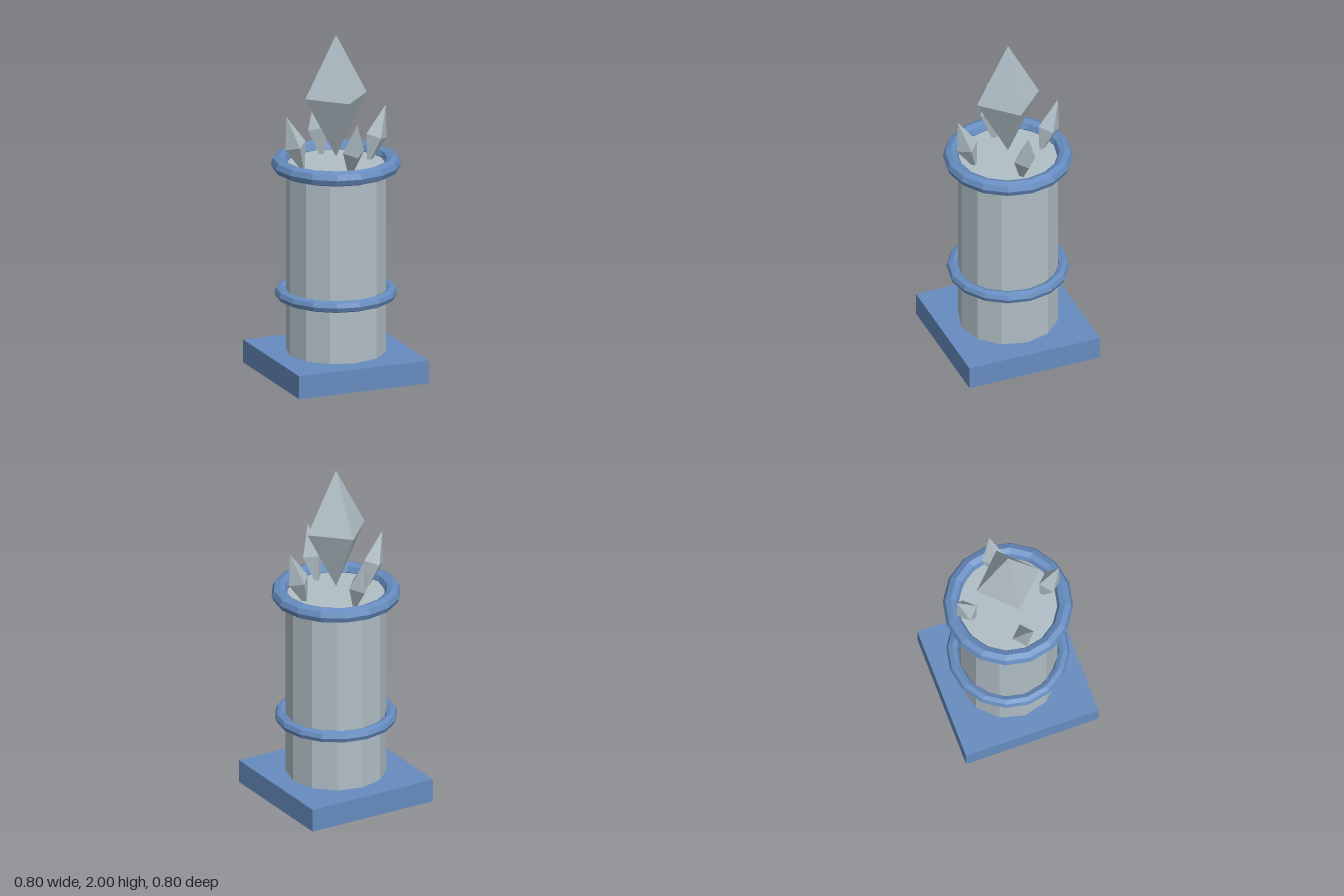
import * as THREE from 'three';

export function createModel() {
  const model = new THREE.Group();
  const stone = new THREE.MeshStandardMaterial({ name: 'paleStone', color: 0xb0bec5, flatShading: true });
  const blue = new THREE.MeshStandardMaterial({ name: 'blueTrim', color: 0x668cbf, flatShading: true });

  const add = (name, geometry, material, x, y, z) => {
    const mesh = new THREE.Mesh(geometry, material);
    mesh.name = name;
    mesh.position.set(x, y, z);
    model.add(mesh);
    return mesh;
  };

  // Horizontal ring around the column
  const ring = (name, radius, tube, y) =>
    add(name, new THREE.TorusGeometry(radius, tube, 8, 16).rotateX(Math.PI / 2), blue, 0, y, 0);

  // Octahedron stretched along its height
  const crystal = (radius, halfHeight) =>
    new THREE.OctahedronGeometry(1).scale(radius, halfHeight, radius);

  // Square plinth and twelve-sided column
  add('base', new THREE.BoxGeometry(0.8, 0.135, 0.8), blue, 0, 0.0675, 0);
  add('column', new THREE.CylinderGeometry(0.285, 0.285, 1.11, 12), stone, 0, 0.685, 0);

  ring('lowerRing', 0.315, 0.035, 0.483);
  ring('topRing', 0.325, 0.045, 1.243);

  // Large floating crystal
  add('mainCrystal', crystal(0.19, 0.36), stone, 0, 1.64, 0);

  // Four small crystals leaning outward
  for (let i = 0; i < 4; i++) {
    const angle = (i * Math.PI) / 2;
    const small = add('smallCrystal', crystal(0.065, 0.187), stone,
      Math.sin(angle) * 0.25, 1.373, Math.cos(angle) * 0.25);
    small.rotation.set(0.31, angle, 0, 'YXZ');
  }
  return model;
}
